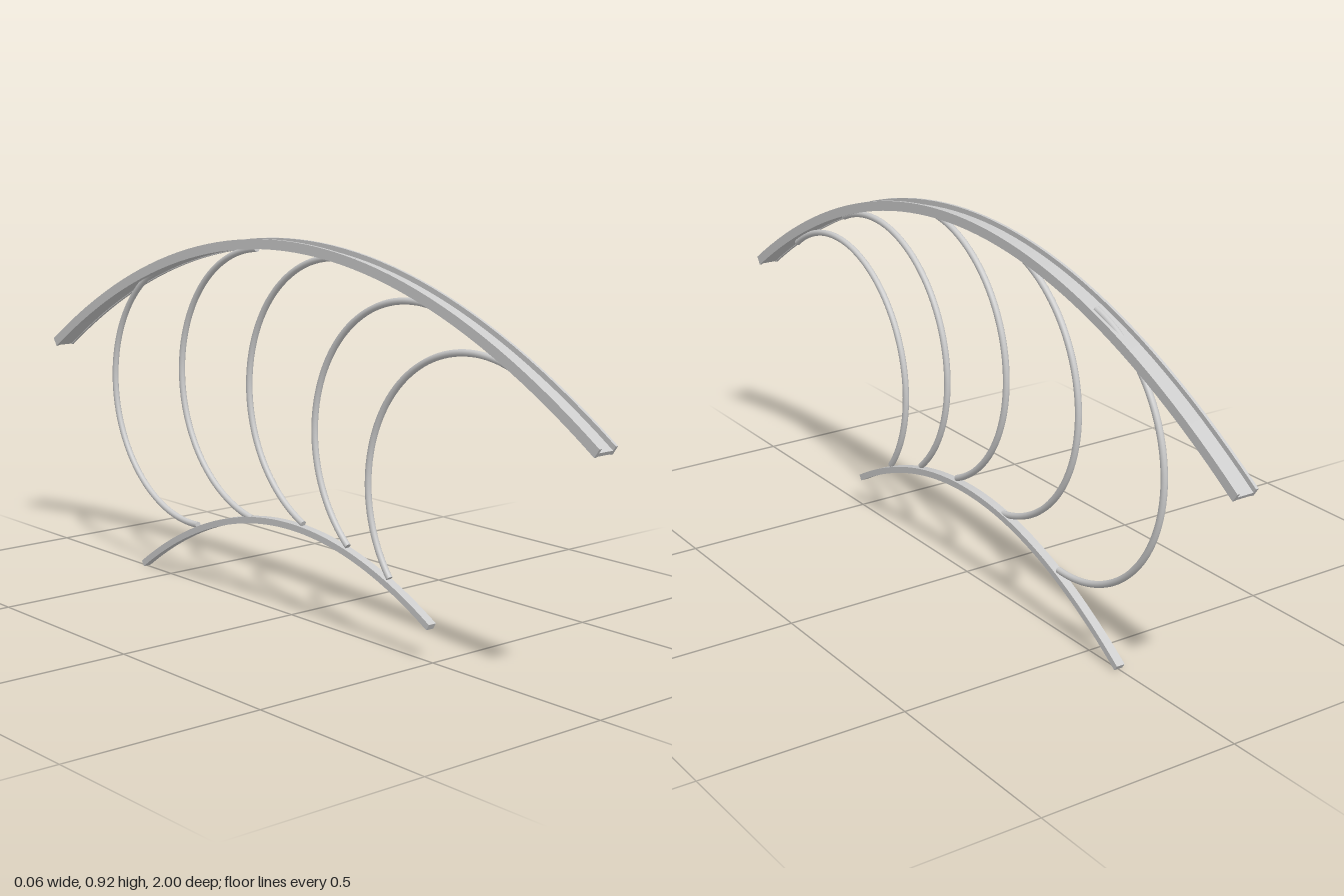
import * as THREE from 'three';
import { toCreasedNormals } from 'three/addons/utils/BufferGeometryUtils.js';

const material = new THREE.MeshStandardMaterial({ color: 0xcccccc, side: THREE.DoubleSide });

function addMesh(parent, geometry, name) {
  const mesh = new THREE.Mesh(geometry, material);
  mesh.name = name;
  parent.add(mesh);
  return mesh;
}

// Strip following the parabola y = top - bend * z^2, with a given height and width across x
function archStrip({ top, bend, front, back }, height, width, lift = 0) {
  const steps = 48, upper = [], lower = [];
  for (let i = 0; i <= steps; i++) {
    const z = front + (back - front) * i / steps;
    const normal = new THREE.Vector2(2 * bend * z, 1).normalize();
    const centre = new THREE.Vector2(z, top - bend * z * z);
    upper.push(centre.clone().addScaledVector(normal, lift + height / 2));
    lower.push(centre.clone().addScaledVector(normal, lift - height / 2));
  }
  const shape = new THREE.Shape([...upper, ...lower.reverse()]);
  const geometry = new THREE.ExtrudeGeometry(shape, { depth: width, bevelEnabled: false });
  geometry.translate(0, 0, -width / 2);
  geometry.rotateY(-Math.PI / 2); // shape x becomes z
  return toCreasedNormals(geometry, 0.5);
}

// Circular arc in the zy plane, angle measured from +z towards +y
class RibArc extends THREE.Curve {
  constructor(z, y, radius, from, to) {
    super();
    Object.assign(this, { z, y, radius, from, to });
  }
  getPoint(t, target = new THREE.Vector3()) {
    const a = THREE.MathUtils.degToRad(this.from + (this.to - this.from) * t);
    return target.set(0, this.y + this.radius * Math.sin(a), this.z + this.radius * Math.cos(a));
  }
}

export function createModel() {
  const model = new THREE.Group();
  model.name = 'archedFrame';

  // Upper rail: H-shaped section, two side flanges joined by a web
  const upperRail = new THREE.Group();
  upperRail.name = 'upperRail';
  model.add(upperRail);
  const upperArch = { top: 0.908, bend: 0.347, front: 0.993, back: -0.993 };
  for (const side of [1, -1]) {
    const flange = addMesh(upperRail, archStrip(upperArch, 0.024, 0.007), side > 0 ? 'leftFlange' : 'rightFlange');
    flange.position.x = side * 0.0245;
  }
  addMesh(upperRail, archStrip(upperArch, 0.01, 0.044, -0.005), 'web');

  // Lower rail: plain bar
  const lowerArch = { top: 0.226, bend: 0.584, front: 0.493, back: -0.612 };
  addMesh(model, archStrip(lowerArch, 0.016, 0.022), 'lowerRail');

  // Curved ribs: centre z, centre y, start angle, end angle
  const ribs = [
    [0.617, 0.381, 54, 219],
    [0.426, 0.475, 66, 230],
    [0.177, 0.551, 82, 247],
    [-0.101, 0.551, 95, 261],
    [-0.402, 0.495, 106, 274],
  ];
  ribs.forEach(([z, y, from, to], i) => {
    const arc = new RibArc(z, y, 0.34, from, to);
    const rib = new THREE.Group();
    rib.name = `rib${i + 1}`;
    model.add(rib);
    addMesh(rib, new THREE.TubeGeometry(arc, 56, 0.008, 12), 'ribTube');
    // Flat caps closing the tube
    for (const t of [0, 1]) {
      const cap = addMesh(rib, new THREE.CircleGeometry(0.008, 12), 'ribCap');
      cap.position.copy(arc.getPoint(t));
      cap.lookAt(cap.position.clone().addScaledVector(arc.getTangent(t), t ? 1 : -1));
    }
  });

  return model;
}
